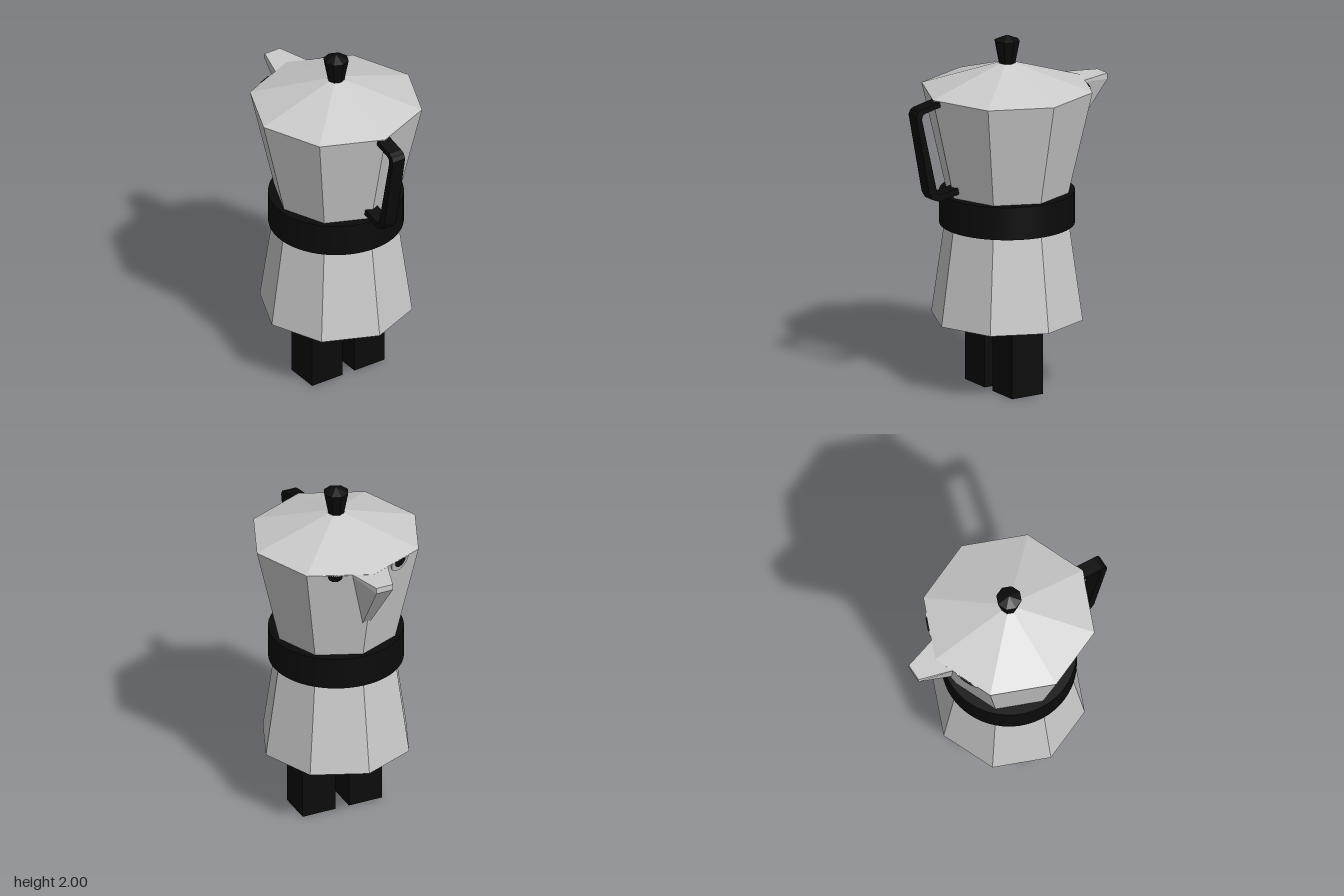
import * as THREE from 'three';
import { ConvexGeometry } from 'three/addons/geometries/ConvexGeometry.js';

const grey = new THREE.MeshStandardMaterial({ color: 0xcccccc, flatShading: true, side: THREE.DoubleSide });
const black = new THREE.MeshStandardMaterial({ color: 0x0b0b0b, flatShading: true });
const blackSmooth = new THREE.MeshStandardMaterial({ color: 0x0b0b0b });

const v2 = ([x, y]) => new THREE.Vector2(x, y);

export function createModel() {
  const model = new THREE.Group();
  const add = (name, geometry, material, parent = model) => {
    const mesh = new THREE.Mesh(geometry, material);
    mesh.name = name;
    parent.add(mesh);
    return mesh;
  };
  // Eight-sided turned part with a corner on each axis
  const octagon = (name, profile, material) =>
    add(name, new THREE.LatheGeometry(profile.map(v2), 8), material);

  // Lower chamber with a rim around a dark, slightly recessed base
  octagon('lowerChamber', [[0.30, 0.415], [0.30, 0.40], [0.425, 0.40], [0.347, 0.95]], grey);
  const base = add('basePlate', new THREE.CylinderGeometry(0.305, 0.305, 0.02, 8), black);
  base.position.y = 0.42;

  // Round belt between the chambers
  const belt = add('belt', new THREE.CylinderGeometry(0.372, 0.372, 0.185, 64), blackSmooth);
  belt.position.y = 1.028;

  // Upper chamber, lid and knob
  octagon('upperChamber', [[0.34, 1.10], [0.48, 1.70]], grey);
  octagon('lid', [[0.48, 1.70], [0.04, 1.845], [0, 1.845]], grey);
  octagon('knob', [[0, 1.835], [0.045, 1.835], [0.071, 1.97], [0, 2.0]], black);

  // Legs
  for (const side of [-1, 1]) {
    const leg = add(side > 0 ? 'leftLeg' : 'rightLeg', new THREE.BoxGeometry(0.2, 0.42, 0.2), black);
    leg.position.set(side * 0.14, 0.21, 0.02);
  }

  // Handle: bent flat bar, drawn in (z, y) and extruded across x
  const bar = new THREE.Shape([
    [0.42, 1.705], [0.577, 1.671], [0.602, 1.66], [0.614, 1.634],
    [0.529, 1.183], [0.508, 1.146], [0.466, 1.13], [0.33, 1.153],
    [0.33, 1.191], [0.455, 1.167], [0.472, 1.173], [0.481, 1.194],
    [0.577, 1.613], [0.572, 1.635], [0.556, 1.645], [0.42, 1.675],
  ].map(v2));
  const handle = new THREE.ExtrudeGeometry(bar, { depth: 0.08, bevelEnabled: false });
  handle.translate(0, 0, -0.04).rotateY(-Math.PI / 2);
  add('handle', handle, black);

  // Spout: wide at the wall, narrowing to the tip and to its foot
  const corners = [];
  for (const s of [-1, 1]) {
    for (const [x, y, z] of [
      [0.125, 1.699, -0.37], [0.05, 1.699, -0.62], [0.05, 1.665, -0.62],
      [0.022, 1.335, -0.38], [0.022, 1.335, -0.35],
    ]) corners.push(new THREE.Vector3(s * x, y, z));
  }
  add('spout', new ConvexGeometry(corners), grey);

  // Half-round eyes under the lid, on the wall either side of the spout
  const halfDisc = (radius, depth) => {
    const shape = new THREE.Shape();
    shape.absarc(0, 0, radius, Math.PI, 2 * Math.PI, false);
    return new THREE.ExtrudeGeometry(shape, { depth, bevelEnabled: false, curveSegments: 20 })
      .translate(0, 0, -0.006);
  };
  for (const side of [-1, 1]) {
    const angle = Math.PI - side * Math.PI / 8;
    const eye = new THREE.Group();
    eye.name = side > 0 ? 'leftEye' : 'rightEye';
    eye.rotation.set(0.22, angle, 0, 'YXZ');
    eye.position.set(side * 0.195, 1.699, -0.399);
    add('eyeball', halfDisc(0.068, 0.012), grey, eye);
    add('pupil', halfDisc(0.04, 0.016), black, eye);
    model.add(eye);
  }

  return model;
}
